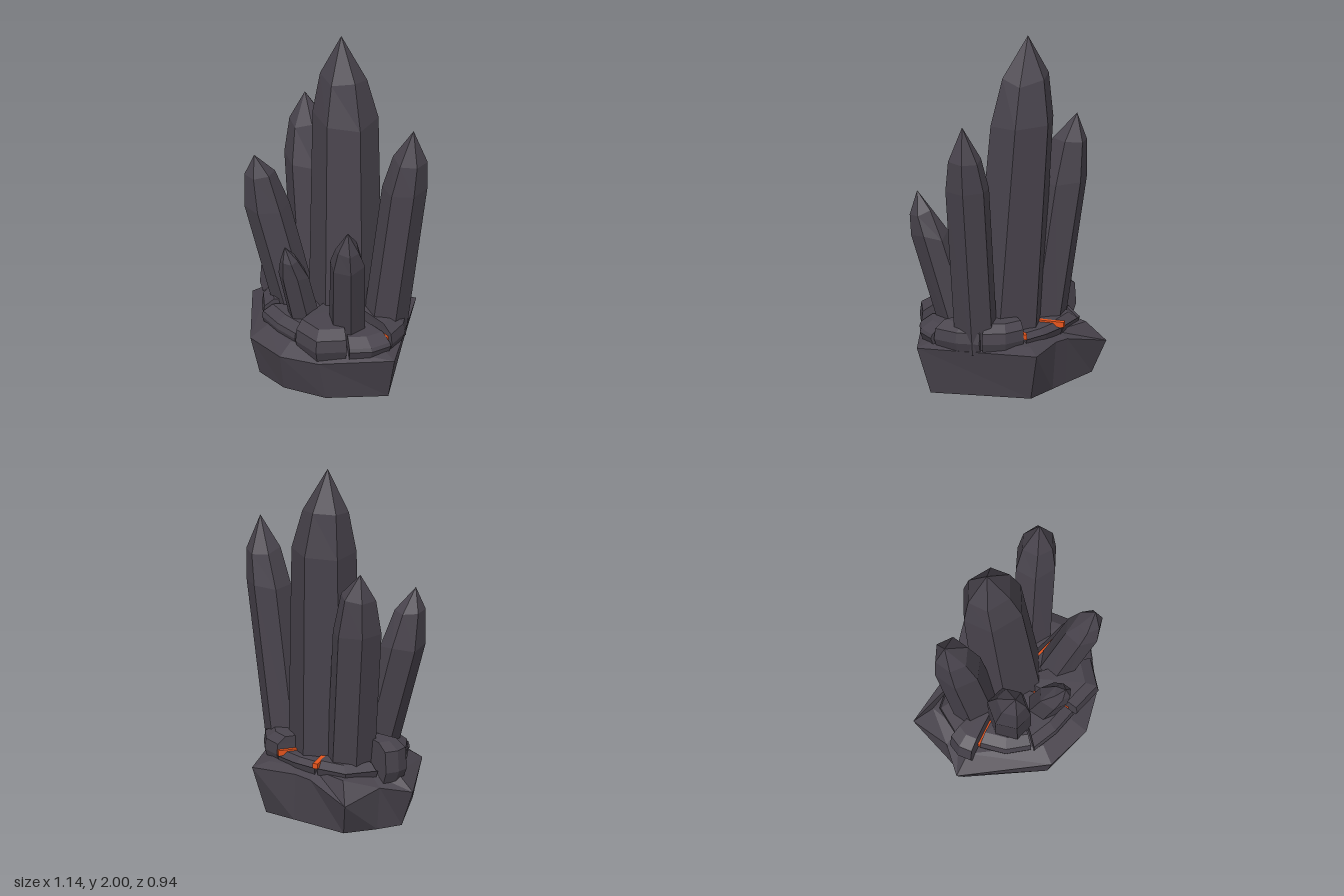
import * as THREE from 'three';

const stone = new THREE.MeshStandardMaterial({ color: 0x48434c });
stone.name = 'dark stone';
const ember = new THREE.MeshStandardMaterial({ color: 0xe8551c });
ember.name = 'ember orange';

// Small seeded generator, returns -1..1
let seed = 7;
const wobble = () => {
  seed = (seed * 16807) % 2147483647;
  return (seed / 2147483647) * 2 - 1;
};

// Faceted solid from rings of [x, y, z] points, closed by bottom and top points
function loft(name, rings, bottom, top) {
  const pos = [];
  const tri = (a, b, c) => pos.push(...a, ...b, ...c);
  const n = rings[0].length;
  const last = rings[rings.length - 1];
  for (let i = 0; i < n; i++) {
    const j = (i + 1) % n;
    tri(bottom, rings[0][i], rings[0][j]);
    for (let k = 0; k < rings.length - 1; k++) {
      const lo = rings[k], hi = rings[k + 1];
      tri(lo[i], hi[i], hi[j]);
      tri(lo[i], hi[j], lo[j]);
    }
    tri(top, last[j], last[i]);
  }
  const geo = new THREE.BufferGeometry();
  geo.setAttribute('position', new THREE.Float32BufferAttribute(pos, 3));
  geo.computeVertexNormals();
  const mesh = new THREE.Mesh(geo, stone);
  mesh.name = name;
  return mesh;
}

// Leaning six-sided crystal: sections are [y, centreX, centreZ, radiusX, radiusZ]
function crystal({ name, turn, sections, apex }) {
  const stretch = Array.from({ length: 6 }, () => 1.05 + 0.04 * wobble());
  const rings = sections.map(([y, cx, cz, rx, rz], k) =>
    stretch.map((s, i) => {
      const a = turn + (i / 6) * Math.PI * 2;
      return [cx + Math.cos(a) * rx * s, y + (k ? 0.02 * wobble() : 0), cz + Math.sin(a) * rz * s];
    }));
  const [y, x, z] = sections[0];
  return loft(name, rings, [x, y, z], apex);
}

const crystals = [
  { name: 'mainCrystal', turn: 0.25, apex: [-0.08, 2, -0.11], sections: [
    [0.25, 0.03, -0.05, 0.21, 0.185], [1.51, -0.04, -0.105, 0.187, 0.165], [1.76, -0.062, -0.11, 0.14, 0.113]] },
  { name: 'rightTallCrystal', turn: 0.3, apex: [0.44, 1.6, -0.2], sections: [
    [0.25, 0.28, -0.12, 0.115, 0.115], [1.21, 0.39, -0.18, 0.12, 0.115], [1.41, 0.42, -0.195, 0.09, 0.09]] },
  { name: 'leftTallCrystal', turn: 0.4, apex: [-0.41, 1.48, -0.12], sections: [
    [0.25, -0.21, -0.05, 0.13, 0.125], [1.12, -0.335, -0.09, 0.13, 0.13], [1.33, -0.37, -0.105, 0.092, 0.095]] },
  { name: 'frontLeftCrystal', turn: 0, apex: [-0.31, 1.29, 0.32], sections: [
    [0.25, -0.15, 0.13, 0.11, 0.12], [0.96, -0.285, 0.25, 0.11, 0.125], [1.16, -0.305, 0.285, 0.075, 0.085]] },
  { name: 'frontRightCrystal', turn: 0.5, apex: [0.415, 1.1, 0.245], sections: [
    [0.25, 0.22, 0.09, 0.1, 0.1], [0.85, 0.36, 0.2, 0.095, 0.1], [0.98, 0.39, 0.228, 0.067, 0.064]] },
  { name: 'smallFrontCrystal', turn: 0.35, apex: [0.03, 0.88, 0.38], sections: [
    [0.25, 0.005, 0.19, 0.075, 0.09], [0.66, 0.015, 0.305, 0.075, 0.085], [0.8, 0.035, 0.355, 0.045, 0.047]] },
];

// Base rim [x, y, z] and foot [x, z], going round from +x towards +z
const rim = [
  [0.57, 0.27, 0.04], [0.3, 0.245, 0.36], [0.1, 0.24, 0.47], [-0.17, 0.23, 0.46], [-0.57, 0.21, 0.12],
  [-0.48, 0.24, -0.04], [-0.49, 0.18, -0.28], [-0.2, 0.26, -0.31], [-0.1, 0.27, -0.34], [0.13, 0.27, -0.47],
];
const foot = [
  [0.49, 0.02], [0.29, 0.3], [0.06, 0.41], [-0.15, 0.41], [-0.49, 0.1],
  [-0.47, -0.05], [-0.42, -0.24], [-0.2, -0.3], [-0.08, -0.335], [0.11, -0.39],
];

// Slabs: [start degrees, end degrees, start radius, middle radius, end radius, top height]
const slabs = [
  [0, 30, 0.5, 0.5, 0.47, 0.38], [30, 73, 0.46, 0.48, 0.4, 0.43], [73, 120, 0.385, 0.38, 0.41, 0.39],
  [120, 163, 0.4, 0.41, 0.41, 0.41], [163, 181, 0.5, 0.51, 0.49, 0.48], [181, 234, 0.43, 0.42, 0.34, 0.35],
  [234, 287, 0.34, 0.32, 0.34, 0.34], [287, 325, 0.34, 0.39, 0.42, 0.42], [325, 360, 0.42, 0.46, 0.49, 0.42],
];

// Wedge-shaped slab with a bevelled top, pushed outwards to leave cracks
function slab([d0, d1, r0, r1, r2, top]) {
  const a0 = d0 * Math.PI / 180, a1 = d1 * Math.PI / 180, mid = (a0 + a1) / 2;
  const push = Math.min(0.03, 0.008 / Math.sin((a1 - a0) / 2));
  const ox = Math.cos(mid) * push, oz = Math.sin(mid) * push;
  const ring = (y, s) => [[mid, 0.02, 1], [a0, r0 - push, s], [mid, r1 - push, s], [a1, r2 - push, s]]
    .map(([a, r, k]) => [ox + Math.cos(a) * r * k, y, oz + Math.sin(a) * r * k]);
  const rings = [ring(0.24, 0.93), ring(0.32, 1), ring(top - 0.04, 0.98), ring(top, 0.84)];
  const at = y => [ox + Math.cos(mid) * 0.2, y, oz + Math.sin(mid) * 0.2];
  return loft('slab', rings, at(0.24), at(top + 0.005));
}

// Glowing cracks: [degrees, outer radius, width, top height]
const glows = [
  [0, 0.46, 0.013, 0.36], [30, 0.25, 0.016, 0.36], [73, 0.345, 0.016, 0.35], [120, 0.22, 0.016, 0.36],
  [163, 0.41, 0.016, 0.36], [234, 0.345, 0.03, 0.35], [287, 0.335, 0.026, 0.35],
];

export function createModel() {
  const model = new THREE.Group();
  model.name = 'crystalCluster';

  // Rock base with a sloping shoulder
  model.add(loft('rockBase', [
    foot.map(([x, z]) => [x, 0, z]),
    rim,
    rim.map(([x, y, z]) => [x * 0.8, 0.295, z * 0.8]),
  ], [0, 0, 0], [0, 0.31, 0]));

  // Ring of broken slabs
  const slabRing = new THREE.Group();
  slabRing.name = 'slabRing';
  slabs.forEach(s => slabRing.add(slab(s)));
  model.add(slabRing);

  // Glowing strips between the slabs
  const cracks = new THREE.Group();
  cracks.name = 'glowingCracks';
  glows.forEach(([deg, r, width, top]) => {
    const strip = new THREE.Mesh(new THREE.BoxGeometry(r - 0.08, 0.03, width), ember);
    const a = deg * Math.PI / 180, m = (r + 0.08) / 2;
    strip.position.set(Math.cos(a) * m, top - 0.015, Math.sin(a) * m);
    strip.rotation.y = -a;
    strip.name = 'glowingCrack';
    cracks.add(strip);
  });
  model.add(cracks);

  // Crystals
  seed = 7;
  crystals.forEach(c => model.add(crystal(c)));
  return model;
}
